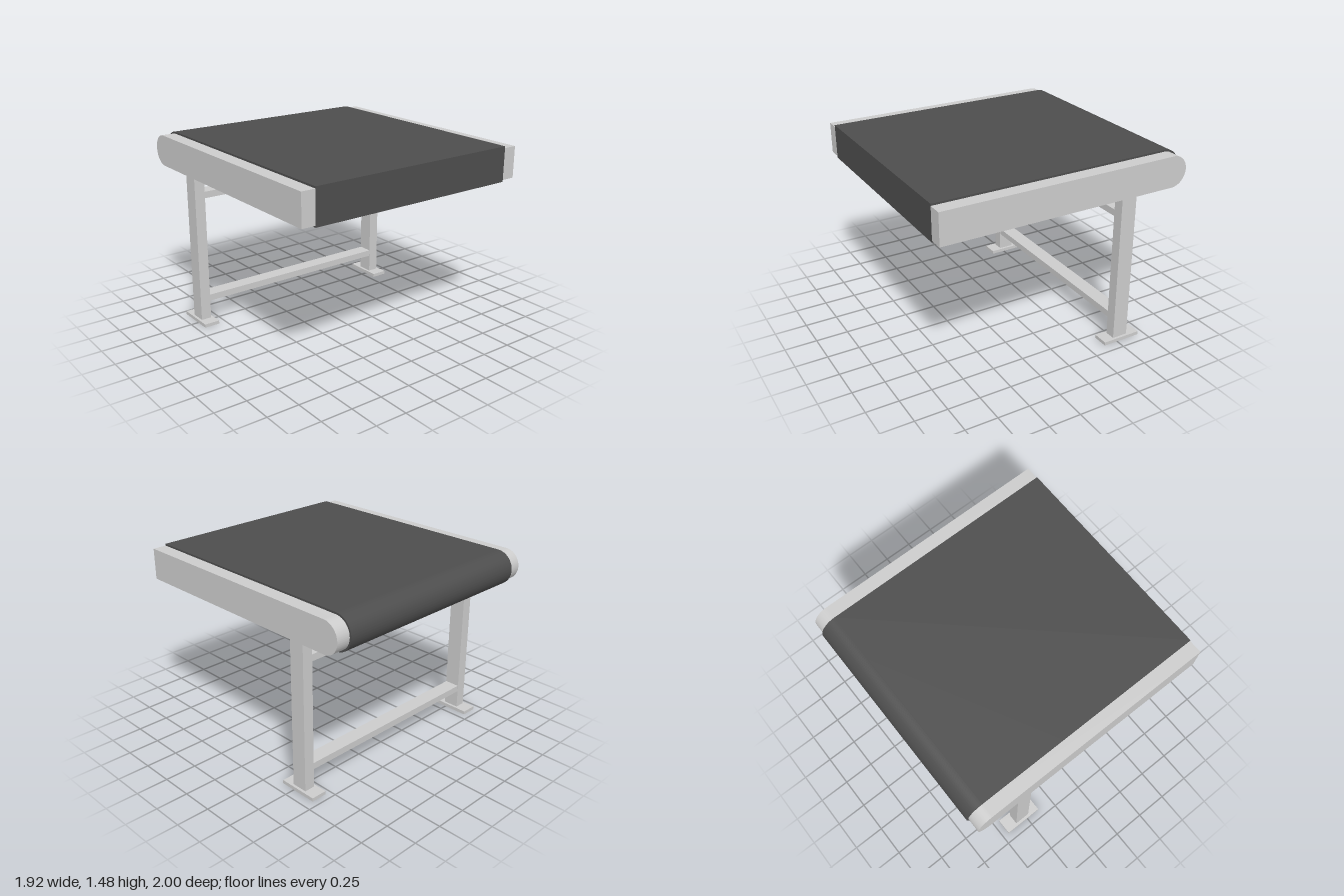
import * as THREE from 'three';
import { toCreasedNormals } from 'three/addons/utils/BufferGeometryUtils.js';

const grey = new THREE.MeshStandardMaterial({ color: 0xcccccc });
const dark = new THREE.MeshStandardMaterial({ color: 0x4d4d4d });

const AXIS_Y = 1.346, AXIS_Z = -0.865, FRONT_Z = 1;

// Slab along z, square at the front and fully rounded at the back, spanning x0..x1
function roundedSlab(name, radius, x0, x1, material) {
  const shape = new THREE.Shape();
  shape.moveTo(FRONT_Z, AXIS_Y - radius);
  shape.lineTo(FRONT_Z, AXIS_Y + radius);
  shape.lineTo(AXIS_Z, AXIS_Y + radius);
  shape.absarc(AXIS_Z, AXIS_Y, radius, Math.PI / 2, Math.PI * 1.5, false);
  const geometry = new THREE.ExtrudeGeometry(shape, { depth: x1 - x0, bevelEnabled: false, curveSegments: 32 });
  geometry.rotateY(-Math.PI / 2).translate(x1, 0, 0);
  const mesh = new THREE.Mesh(toCreasedNormals(geometry, Math.PI / 6), material);
  mesh.name = name;
  return mesh;
}

// Box given by its extents on each axis
function box(name, [x0, x1], [y0, y1], [z0, z1]) {
  const mesh = new THREE.Mesh(new THREE.BoxGeometry(x1 - x0, y1 - y0, z1 - z0), grey);
  mesh.position.set((x0 + x1) / 2, (y0 + y1) / 2, (z0 + z1) / 2);
  mesh.name = name;
  return mesh;
}

export function createModel() {
  const model = new THREE.Group();
  model.name = 'conveyor';

  // Belt and the side frames holding it
  model.add(roundedSlab('belt', 0.135, -0.854, 0.854, dark));
  model.add(roundedSlab('leftSideFrame', 0.121, 0.854, 0.962, grey));
  model.add(roundedSlab('rightSideFrame', 0.121, -0.962, -0.854, grey));

  // Support stand: legs with foot plates, joined by two cross rails
  const stand = new THREE.Group();
  stand.name = 'stand';
  for (const [side, x] of [['left', 0.858], ['right', -0.874]]) {
    stand.add(box(side + 'Leg', [x - 0.042, x + 0.042], [0.027, 1.228], [-0.6, -0.475]));
    stand.add(box(side + 'Foot', [x - 0.063, x + 0.063], [0, 0.027], [-0.698, -0.384]));
  }
  for (const [name, y] of [['lowerRail', 0.172], ['upperRail', 1.03]]) {
    stand.add(box(name, [-0.832, 0.816], [y, y + 0.052], [-0.597, -0.478]));
  }
  model.add(stand);
  return model;
}
